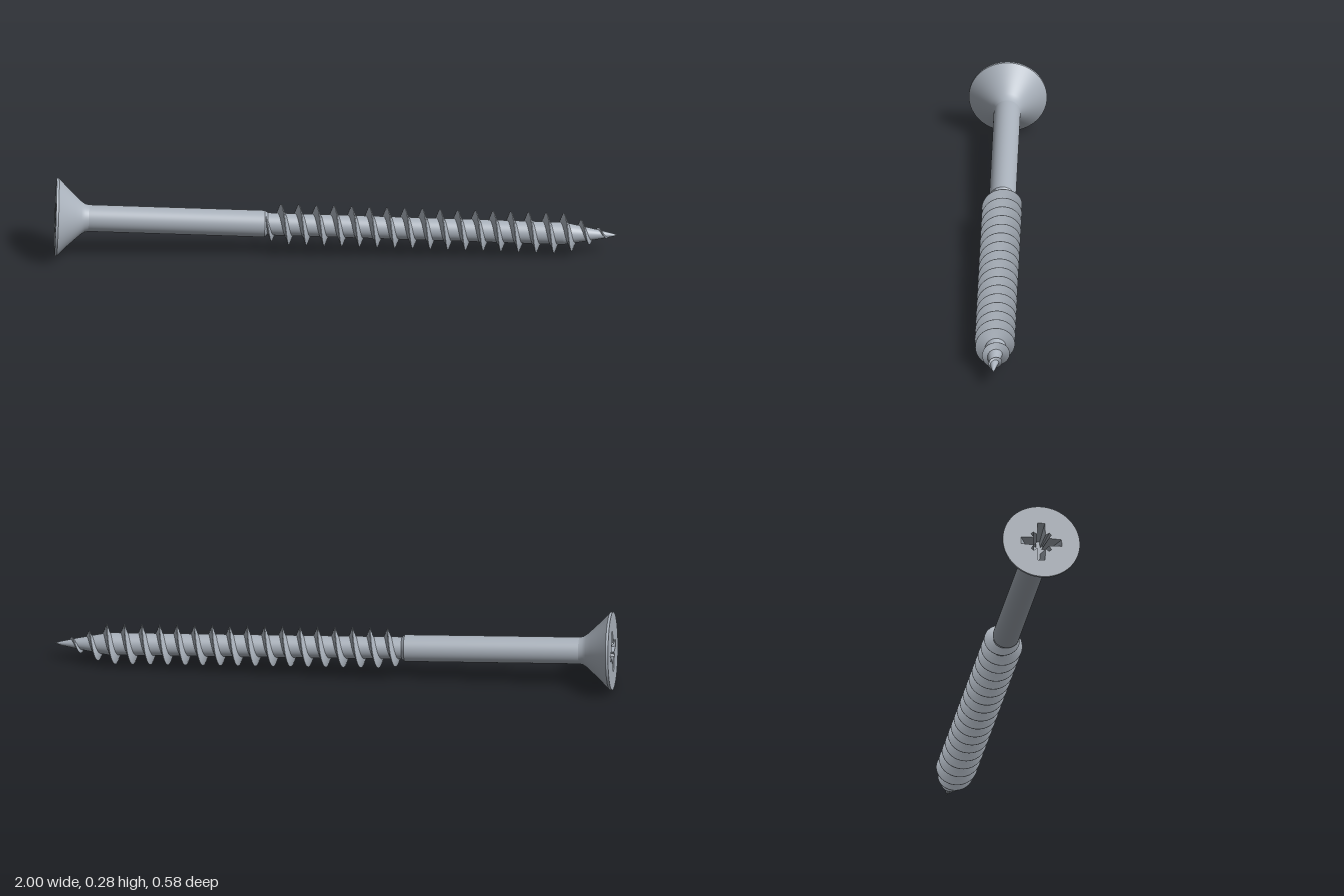
import * as THREE from 'three';
import { mergeVertices } from 'three/addons/utils/BufferGeometryUtils.js';

const steel = new THREE.MeshStandardMaterial({ color: 0xaab2bc });
steel.name = 'steel';

// Straight pieces between [radius, distance from head] points along an axis
const LENGTH = 2.016, CORE = 0.04, TAPER = 1.82, PITCH = 0.0633;

function part(name, geometry) {
  const mesh = new THREE.Mesh(geometry, steel);
  mesh.name = name;
  return mesh;
}

const turned = (name, pts) =>
  part(name, new THREE.LatheGeometry(pts.map(([r, s]) => new THREE.Vector2(r, s)), 64));

function surface(positions, smooth) {
  let g = new THREE.BufferGeometry();
  g.setAttribute('position', new THREE.Float32BufferAttribute(positions, 3));
  if (smooth) g = mergeVertices(g, 1e-6);
  g.computeVertexNormals();
  return g;
}

// Cross outline with four wide arms and four short ribs between them
function crossOutline(scale) {
  const quarter = [[0.074, -0.013], [0.074, 0.013], [0.027, 0.015],
    [0.037, 0.029], [0.029, 0.037], [0.015, 0.027]];
  const out = [];
  for (let k = 0; k < 4; k++) {
    for (const [x, y] of quarter) {
      out.push(new THREE.Vector2(x, y).multiplyScalar(scale)
        .rotateAround(new THREE.Vector2(), k * Math.PI / 2));
    }
  }
  return out;
}

function addHead(screw) {
  const depth = 0.075, outer = crossOutline(1), inner = crossOutline(0.5);

  // Flat face with the driver recess cut out
  const disc = new THREE.Shape().absarc(0, 0, 0.14, 0, Math.PI * 2, false);
  disc.holes.push(new THREE.Path(outer));
  screw.add(part('headFace', new THREE.ShapeGeometry(disc, 32).rotateX(Math.PI / 2)));

  // Tapered recess walls and floor
  const walls = [];
  outer.forEach((p0, i) => {
    const j = (i + 1) % outer.length, p1 = outer[j], q0 = inner[i], q1 = inner[j];
    walls.push(p0.x, p0.y, 0, p1.x, p1.y, 0, q0.x, q0.y, -depth,
      p1.x, p1.y, 0, q1.x, q1.y, -depth, q0.x, q0.y, -depth);
  });
  screw.add(part('recessWalls', surface(walls, false).rotateX(Math.PI / 2)));
  const floor = new THREE.ShapeGeometry(new THREE.Shape(inner));
  screw.add(part('recessFloor', floor.translate(0, 0, -depth).rotateX(Math.PI / 2)));

  // Rim and countersunk underside
  screw.add(turned('headRim', [[0.14, 0], [0.14, 0.009]]));
  screw.add(turned('headCone', [[0.14, 0.009], [0.108, 0.04], [0.078, 0.072],
    [0.06, 0.092], [0.051, 0.106], [0.048, 0.12]]));
}

const coreRadius = s => s < TAPER ? CORE
  : CORE * Math.pow(Math.max(0, (LENGTH - s) / (LENGTH - TAPER)), 0.85);

// Crest ramps up out of the shank, then shrinks towards the point
function crestRadius(s) {
  const ramp = THREE.MathUtils.smoothstep(s, 0.735, 0.8);
  const end = THREE.MathUtils.clamp((LENGTH - s) / (LENGTH - 1.83), 0, 1);
  return 0.04 + 0.0325 * ramp - (1 - Math.pow(end, 1.1)) * 0.0725;
}

function addThread(screw) {
  const first = 0.735, last = 2.0, perTurn = 40;
  const steps = Math.round((last - first) / PITCH * perTurn);
  // Cross-section: rear root, two edges of the narrow crest, front root
  const section = i => {
    const s = first + (last - first) * i / steps;
    const a = (s - 0.81) / PITCH * Math.PI * 2;
    const crest = Math.max(0.002, crestRadius(s));
    const root = Math.max(0.001, Math.min(coreRadius(s) - 0.002, crest));
    const w = 0.003 + 0.3 * Math.max(0, crest - root);
    return [[root, -w], [crest, -0.001], [crest, 0.001], [root, w]]
      .map(([r, d]) => [r * Math.cos(a), s + d, -r * Math.sin(a)]);
  };
  ['threadRear', 'threadCrest', 'threadFront'].forEach((name, k) => {
    const pos = [];
    for (let i = 0; i < steps; i++) {
      const p = section(i), q = section(i + 1);
      pos.push(...p[k], ...q[k], ...p[k + 1], ...q[k], ...q[k + 1], ...p[k + 1]);
    }
    screw.add(part(name, surface(pos, true)));
  });
}

export function createModel() {
  const model = new THREE.Group();
  model.name = 'woodScrew';
  const screw = new THREE.Group();
  screw.name = 'screw';
  model.add(screw);

  addHead(screw);

  // Plain shank, its shoulder, threaded core and point
  screw.add(turned('shank', [[0.048, 0.115], [0.048, 0.75]]));
  screw.add(turned('shoulder', [[0.048, 0.75], [CORE, 0.76]]));
  screw.add(turned('core', [[CORE, 0.76], [CORE, TAPER]]));
  const point = [];
  for (let i = 0; i <= 10; i++) {
    const s = TAPER + (LENGTH - TAPER) * i / 10;
    point.push([coreRadius(s), s]);
  }
  screw.add(turned('point', point));
  addThread(screw);

  // Lay the screw down, resting on the head rim and the thread
  const along = new THREE.Vector3(1.972, -0.076, 0.413).normalize();
  const side = new THREE.Vector3(0, 1, 0).cross(along).normalize();
  const up = along.clone().cross(side);
  screw.quaternion.setFromRotationMatrix(new THREE.Matrix4().makeBasis(up, along, side));
  screw.position.set(-0.972, 0.141, -0.158);
  return model;
}
